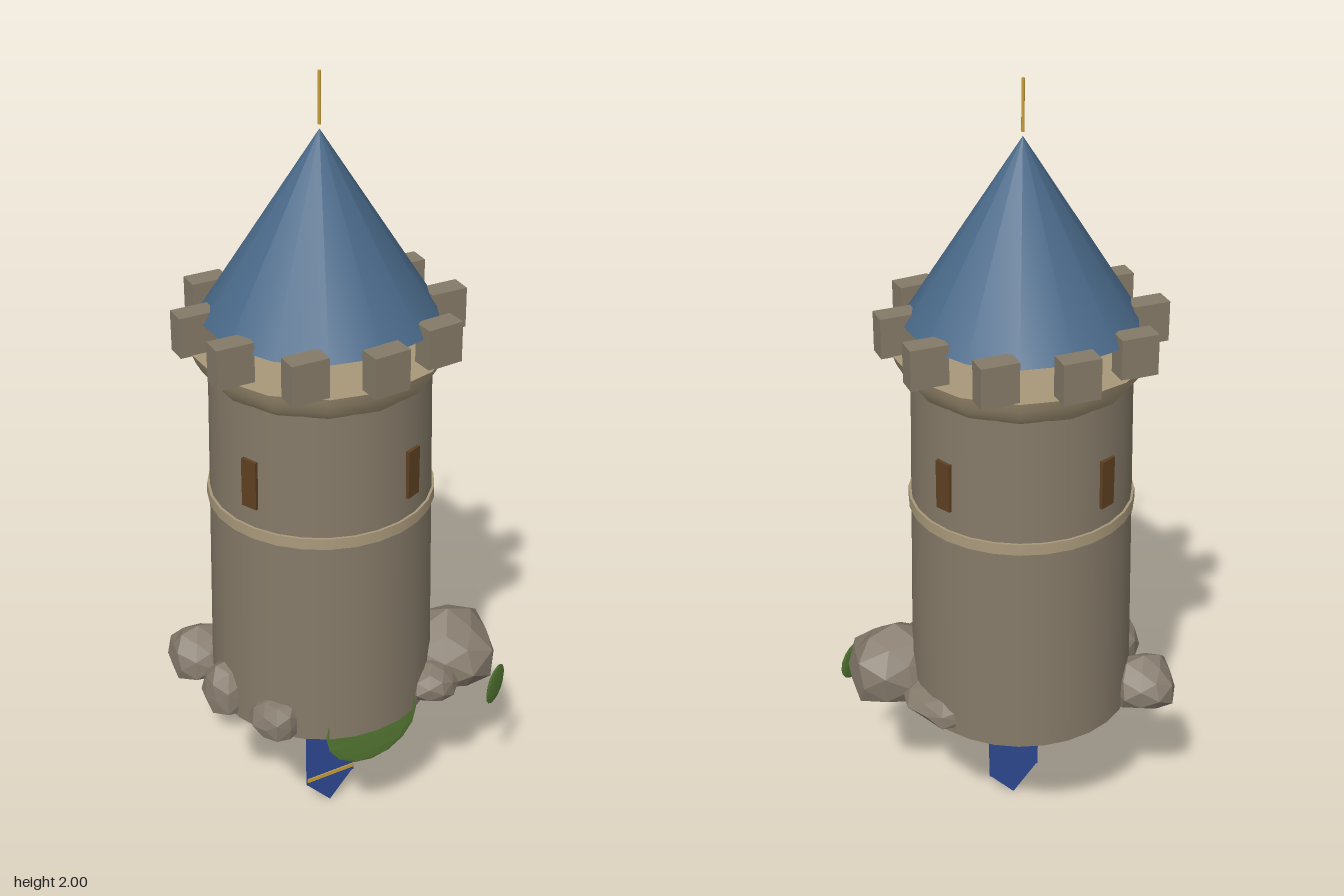
import * as THREE from 'three';

const mat = (name, color, extra = {}) => new THREE.MeshStandardMaterial({ name, color, ...extra });

export function createModel() {
  const stone = mat('stone', 0x857a68);
  const trim = mat('pale stone trim', 0xa8987a);
  const rockMat = mat('rock', 0x857a6c, { flatShading: true });
  const roofMat = mat('slate blue roof', 0x4a6a8a);
  const cloth = mat('blue cloth', 0x2f4a94, { side: THREE.DoubleSide });
  const gold = mat('gold', 0xc9a13c, { side: THREE.DoubleSide });
  const green = mat('leaf green', 0x567a34, { flatShading: true });
  const wood = mat('dark wood', 0x5e4022);

  const model = new THREE.Group();
  model.name = 'tower';
  const CX = -0.042; // tower axis
  const SIDES = 28;

  const add = (name, geo, material, x = CX, y = 0, z = 0) => {
    const m = new THREE.Mesh(geo, material);
    m.name = name;
    m.position.set(x, y, z);
    model.add(m);
    return m;
  };

  // Tapering shaft, string course and flared parapet
  add('shaft', new THREE.CylinderGeometry(0.263, 0.279, 0.9, SIDES), stone, CX, 0.845);
  add('stringCourse', new THREE.CylinderGeometry(0.275, 0.276, 0.028, SIDES), trim, CX, 0.962);
  const flare = [[0.255, 1.285], [0.268, 1.29], [0.283, 1.31], [0.297, 1.335], [0.306, 1.358]];
  add('parapet', new THREE.LatheGeometry(flare.map(p => new THREE.Vector2(...p)), 14), trim);
  add('parapetTop', new THREE.CircleGeometry(0.306, 14, Math.PI / 2).rotateX(-Math.PI / 2), trim, CX, 1.358);

  // Ten merlons, all lying along x
  for (let i = 0; i < 10; i++) {
    const a = i * Math.PI / 5;
    const m = add('merlon', new THREE.BoxGeometry(0.092, 0.1, 0.053), stone,
      CX + Math.sin(a) * 0.294, 1.406, Math.cos(a) * 0.294);
    m.rotation.y = -0.045 * (Math.cos(a) > 0.5 ? Math.sign(Math.sin(a) + 0.1) * -1 : 1);
  }

  // Roof and finial
  add('roof', new THREE.ConeGeometry(0.277, 0.44, 14), roofMat, CX, 1.648);
  add('finial', new THREE.CylinderGeometry(0.004, 0.004, 0.122, 8), gold, CX, 1.939);

  // Four slit windows
  for (let i = 0; i < 4; i++) {
    const a = 0.4 + i * Math.PI / 2;
    const w = add('window', new THREE.BoxGeometry(0.042, 0.125, 0.02), wood,
      CX + Math.sin(a) * 0.263, 1.09, Math.cos(a) * 0.263);
    w.rotation.y = a;
  }

  // Flat-bottomed boulders around the foot
  const rock = (x, y, z, rx, ry, rz, seed) => {
    const g = new THREE.IcosahedronGeometry(1, 1);
    const p = g.attributes.position;
    const v = new THREE.Vector3();
    for (let i = 0; i < p.count; i++) {
      v.fromBufferAttribute(p, i);
      const k = Math.round(v.x * 50) * 1.7 + Math.round(v.y * 50) * 2.9 + Math.round(v.z * 50) * 4.3;
      v.multiplyScalar(0.97 + 0.08 * Math.sin(k + seed));
      p.setXYZ(i, v.x * rx, Math.max(v.y, -0.4) * ry, v.z * rz);
    }
    g.computeVertexNormals();
    add('boulder', g, rockMat, x, y, z);
  };
  rock(0.25, 0.44, 0.135, 0.135, 0.125, 0.125, 1);
  rock(-0.3, 0.43, -0.185, 0.088, 0.085, 0.088, 2);
  rock(-0.3, 0.44, 0.0, 0.08, 0.095, 0.07, 3);
  rock(-0.25, 0.43, 0.15, 0.07, 0.07, 0.07, 4);
  rock(0.18, 0.43, -0.03, 0.1, 0.05, 0.12, 5);
  rock(0.15, 0.43, 0.22, 0.07, 0.06, 0.06, 6);

  // Loose stones on the underside
  for (let i = 0; i < 9; i++) {
    const a = i * 2.4, r = 0.06 + 0.015 * i;
    const s = add('undersideStone', new THREE.BoxGeometry(0.09, 0.02, 0.04), stone,
      CX + Math.cos(a) * r, 0.39, Math.sin(a) * r);
    s.rotation.y = a;
  }

  // Thin foliage pads
  const pad = (x, y, z, r, h, turn) => {
    const m = add('foliage', new THREE.SphereGeometry(1, 10, 8), green, x, y, z);
    m.scale.set(r, h, 0.006);
    m.rotation.y = turn;
  };
  pad(CX, 0.4, 0.25, 0.13, 0.115, 0);
  pad(0.315, 0.395, 0.268, 0.058, 0.05, 0.575);
  pad(0.155, 0.395, 0.08, 0.05, 0.035, Math.PI / 2);

  // Hanging banner with pointed tail, stripe and diamond
  const BZ = 0.042;
  add('banner', new THREE.BoxGeometry(0.14, 0.33, 0.006), cloth, CX, 0.24, BZ);
  const shape = pts => new THREE.ShapeGeometry(new THREE.Shape(pts.map(p => new THREE.Vector2(...p))));
  add('bannerTail', shape([[-0.07, 0.076], [0, 0], [0.07, 0.076]]), cloth, CX, 0, BZ);
  add('bannerStripe', new THREE.BoxGeometry(0.14, 0.011, 0.004), gold, CX, 0.092, BZ + 0.004);
  add('bannerDiamond', shape([[0, -0.038], [0.038, 0], [0, 0.038], [-0.038, 0]]), gold, CX, 0.246, BZ + 0.006);

  return model;
}
